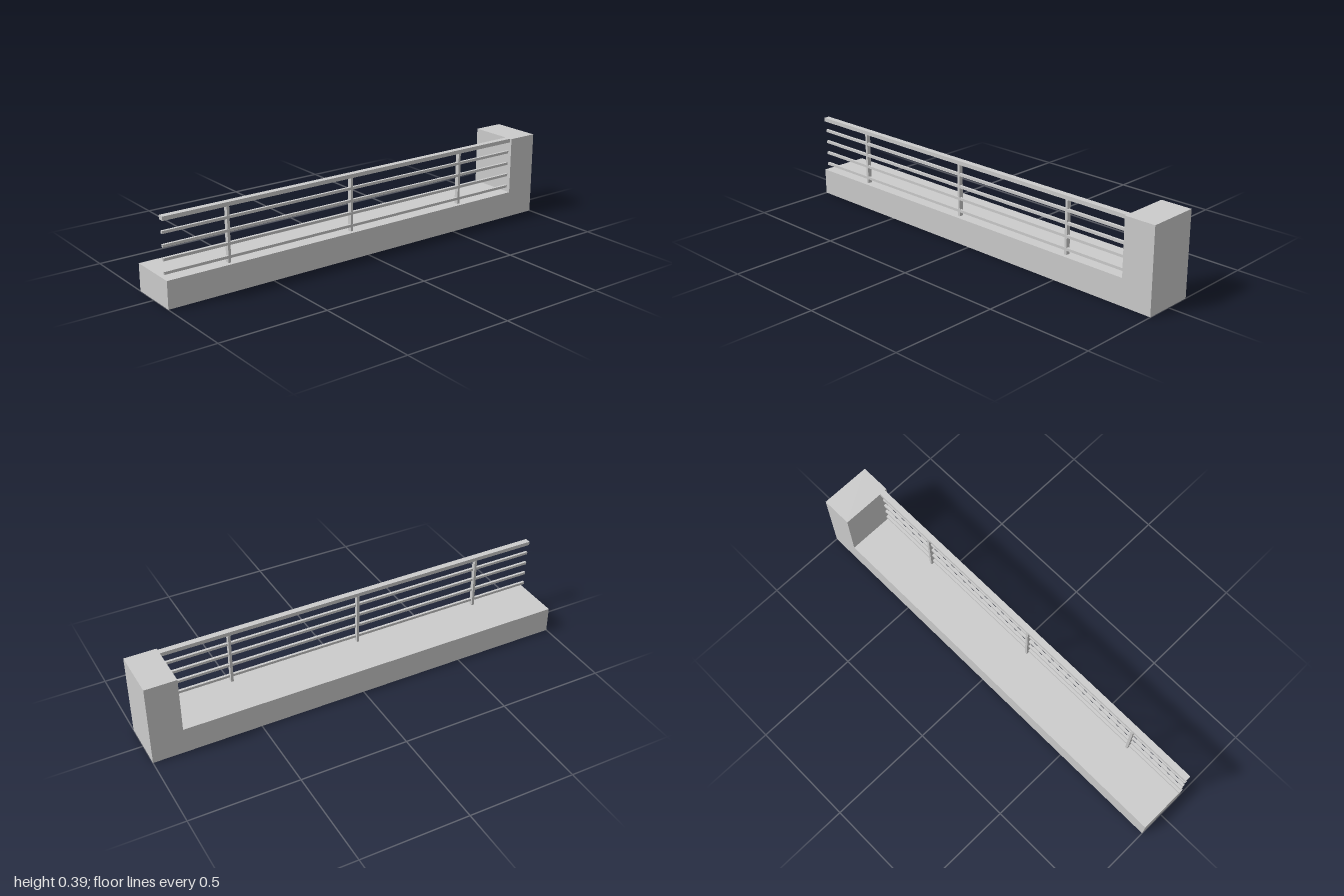
import * as THREE from 'three';

export function createModel() {
  const group = new THREE.Group();
  const material = new THREE.MeshStandardMaterial({ color: 0xcccccc, flatShading: true });

  // Box given by its lower and upper limits on each axis
  const addBox = (name, [x0, x1], [y0, y1], [z0, z1]) => {
    const mesh = new THREE.Mesh(new THREE.BoxGeometry(x1 - x0, y1 - y0, z1 - z0), material);
    mesh.position.set((x0 + x1) / 2, (y0 + y1) / 2, (z0 + z1) / 2);
    mesh.name = name;
    group.add(mesh);
  };

  const halfWidth = 0.119, height = 0.388, slabTop = 0.123, pillarFront = -0.855;

  // L-shaped side profile: long slab with a tall end pillar, extruded across x
  const profile = new THREE.Shape([
    [-1, 0], [1, 0], [1, height], [-pillarFront, height], [-pillarFront, slabTop], [-1, slabTop],
  ].map(([z, y]) => new THREE.Vector2(z, y)));
  const baseGeometry = new THREE.ExtrudeGeometry(profile, { depth: halfWidth * 2, bevelEnabled: false });
  baseGeometry.translate(0, 0, -halfWidth).rotateY(Math.PI / 2);
  const base = new THREE.Mesh(baseGeometry, material);
  base.name = 'slabAndPillar';
  group.add(base);

  // Flat handrail
  const railSpan = [pillarFront, 1];
  addBox('handrail', [0.081, 0.109], [0.37, height], railSpan);

  // Four thin horizontal rails
  for (let i = 0; i < 4; i++) {
    const y = 0.149 + i * 0.057;
    addBox('rail', [0.089, 0.101], [y - 0.006, y + 0.006], railSpan);
  }

  // Three upright posts
  for (const z of [0.7, 0.078, -0.545]) {
    addBox('post', [0.08, 0.1], [slabTop, 0.37], [z - 0.006, z + 0.006]);
  }

  return group;
}
